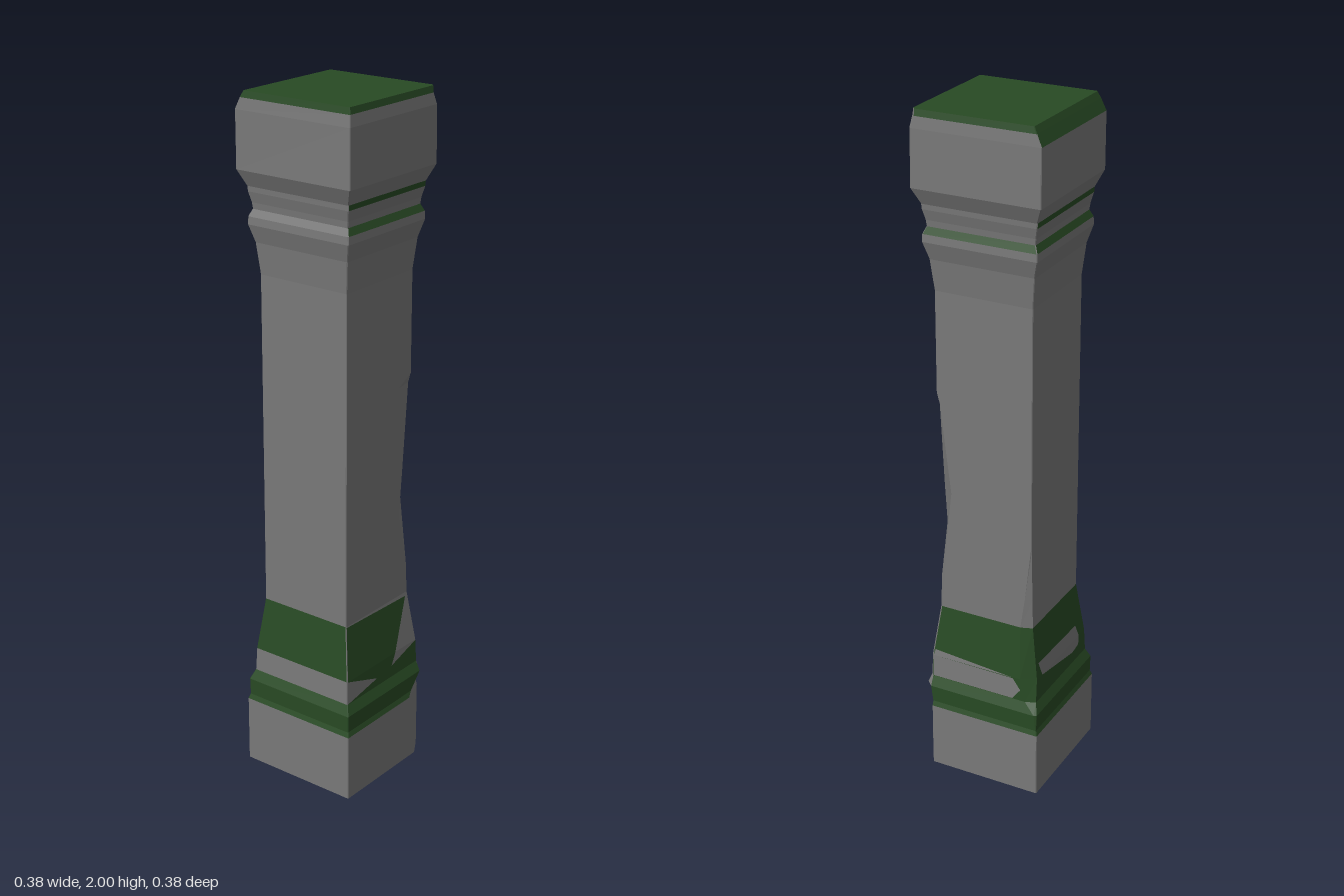
import * as THREE from 'three';

const stone = new THREE.MeshStandardMaterial({ color: 0x797979, flatShading: true });
const moss = new THREE.MeshStandardMaterial({ color: 0x284a24, flatShading: true });

// Wall indices round the pillar; even numbers are the chipped corners between them
const RIGHT = 1, BACK_RIGHT = 2, BACK = 3, BACK_LEFT = 4, LEFT = 5, FRONT_LEFT = 6, FRONT = 7;
const SIDES = [RIGHT, BACK_RIGHT, BACK, BACK_LEFT, LEFT, FRONT_LEFT, FRONT];

// One square ring: half width w at height y, with chips [dx, dz] cut from corners
// c0 = front right, c1 = back right; back = depth of a worn back wall
function ring({ y, w, c0, c1, back = w }) {
  const tiny = [0.002, 0.002];
  const signs = [[1, 1], [1, -1], [-1, -1], [-1, 1]];
  return [c0 || tiny, c1 || tiny, tiny, tiny].flatMap(([dx, dz], k) => {
    const [sx, sz] = signs[k];
    const d = sz > 0 ? w : back;
    const onZ = new THREE.Vector3(sx * (w - dx), y, sz * d);
    const onX = new THREE.Vector3(sx * w, y, sz * (d - dz));
    return k % 2 ? [onX, onZ] : [onZ, onX];
  });
}

function meshFrom(points, material, name) {
  const geometry = new THREE.BufferGeometry().setFromPoints(points);
  geometry.computeVertexNormals();
  const mesh = new THREE.Mesh(geometry, material);
  mesh.name = name;
  return mesh;
}

// Joins the rings of one part; level.moss lists the mossy walls above that ring
function section(name, levels, { top, bottom } = {}) {
  const group = new THREE.Group();
  group.name = name;
  const grey = [], green = [];
  const rings = levels.map(ring);
  for (let j = 0; j < rings.length - 1; j++) {
    const a = rings[j], b = rings[j + 1];
    for (let i = 0; i < 8; i++) {
      const n = (i + 1) % 8;
      const out = (levels[j].moss || []).includes(i) ? green : grey;
      out.push(a[i], a[n], b[n], a[i], b[n], b[i]);
    }
  }
  const first = rings[0], last = rings[rings.length - 1];
  for (let i = 1; i < 7; i++) {
    if (top) green.push(last[0], last[i], last[i + 1]);
    if (bottom) grey.push(first[0], first[i + 1], first[i]);
  }
  group.add(meshFrom(grey, stone, name + 'Stone'));
  if (green.length) group.add(meshFrom(green, moss, name + 'Moss'));
  return group;
}

// Patch lying just over a foot wall: [across, y] corners, anticlockwise from outside
function patch(name, material, turn, corners) {
  const bend = 0.365;
  const p = corners.map(([u, y]) => {
    const depth = 0.167 + (bend - y) * (y < bend ? 0.043 : 0.125);
    return new THREE.Vector3(u, y, depth + 0.0015);
  });
  const tris = [];
  for (let i = 1; i < p.length - 1; i++) tris.push(p[0], p[i], p[i + 1]);
  const mesh = meshFrom(tris, material, name);
  mesh.rotation.y = turn;
  return mesh;
}

export function createModel() {
  const pillar = new THREE.Group();
  pillar.name = 'pillar';

  // Rings shared by neighbouring parts
  const plinthTop = { y: 0.2, w: 0.187, c0: [0.08, 0.03], moss: SIDES };
  const footTop = { y: 0.525, w: 0.147, c0: [0.006, 0.006], c1: [0.012, 0.034] };
  const shaftTop = { y: 1.5, w: 0.147 };
  const neckTop = { y: 1.745, w: 0.17 };

  pillar.add(section('plinth', [
    { y: 0, w: 0.187, c0: [0.05, 0.03] },
    plinthTop,
  ], { bottom: true }));

  pillar.add(section('foot', [
    plinthTop,
    { y: 0.215, w: 0.182, c0: [0.06, 0.025], moss: SIDES },
    { y: 0.265, w: 0.183, c0: [0.02, 0.02], c1: [0.004, 0.008], moss: SIDES },
    { y: 0.295, w: 0.17, c0: [0.008, 0.008], c1: [0.012, 0.03], moss: [RIGHT, BACK_RIGHT, BACK] },
    { y: 0.365, w: 0.167, c0: [0.006, 0.006], c1: [0.02, 0.045], moss: [RIGHT, BACK_RIGHT, BACK, BACK_LEFT, LEFT] },
    footTop,
  ]));

  // Broken moss on the front of the foot
  pillar.add(patch('upperFrontMoss', moss, 0, [
    [-0.165, 0.365], [0.06, 0.365], [0.13, 0.515], [-0.146, 0.523]]));
  pillar.add(patch('middleFrontMoss', moss, 0, [
    [-0.03, 0.32], [0.04, 0.33], [0.06, 0.365], [-0.165, 0.365]]));
  pillar.add(patch('lowerFrontMoss', moss, 0, [
    [0.04, 0.33], [-0.03, 0.32], [-0.168, 0.296], [0.16, 0.296], [0.16, 0.365]]));

  // Bare stone showing through the moss on the right and back of the foot
  pillar.add(patch('rightBareStone', stone, Math.PI / 2, [
    [-0.16, 0.297], [0.1, 0.297], [0.125, 0.33], [0.1, 0.363], [-0.16, 0.365]]));
  pillar.add(patch('rightBareStoneTop', stone, Math.PI / 2, [
    [-0.16, 0.365], [0.1, 0.365], [-0.155, 0.385]]));
  pillar.add(patch('backBareStone', stone, Math.PI, [
    [-0.115, 0.365], [0.08, 0.33], [0.12, 0.337], [0.125, 0.365]]));
  pillar.add(patch('backBareStoneTop', stone, Math.PI, [
    [-0.115, 0.365], [0.125, 0.365], [0.11, 0.405], [-0.13, 0.41]]));

  // Long shaft with two broken corners
  pillar.add(section('shaft', [
    footTop,
    { y: 0.62, w: 0.147, c0: [0.012, 0.015], c1: [0.008, 0.02] },
    { y: 0.78, w: 0.147, c0: [0.05, 0.028] },
    { y: 0.9, w: 0.147, c0: [0.038, 0.042] },
    { y: 1.17, w: 0.147, c0: [0.058, 0.01] },
    { y: 1.2, w: 0.147 },
    shaftTop,
  ]));

  // Flared neck with two ridges
  pillar.add(section('neck', [
    shaftTop,
    { y: 1.59, w: 0.156 },
    { y: 1.64, w: 0.17 },
    { y: 1.662, w: 0.169, moss: [RIGHT, BACK, FRONT] },
    { y: 1.682, w: 0.16 },
    { y: 1.7, w: 0.162 },
    { y: 1.73, w: 0.169, moss: [BACK, FRONT] },
    neckTop,
  ]));

  // Capital block with a worn back edge and mossy top
  pillar.add(section('capital', [
    neckTop,
    { y: 1.79, w: 0.19 },
    { y: 1.95, w: 0.19, c0: [0.006, 0.006], moss: [BACK] },
    { y: 1.982, w: 0.187, back: 0.175, c0: [0.015, 0.012], moss: SIDES },
    { y: 2, w: 0.183, back: 0.166, c0: [0.008, 0.008] },
  ], { top: true }));

  return pillar;
}
